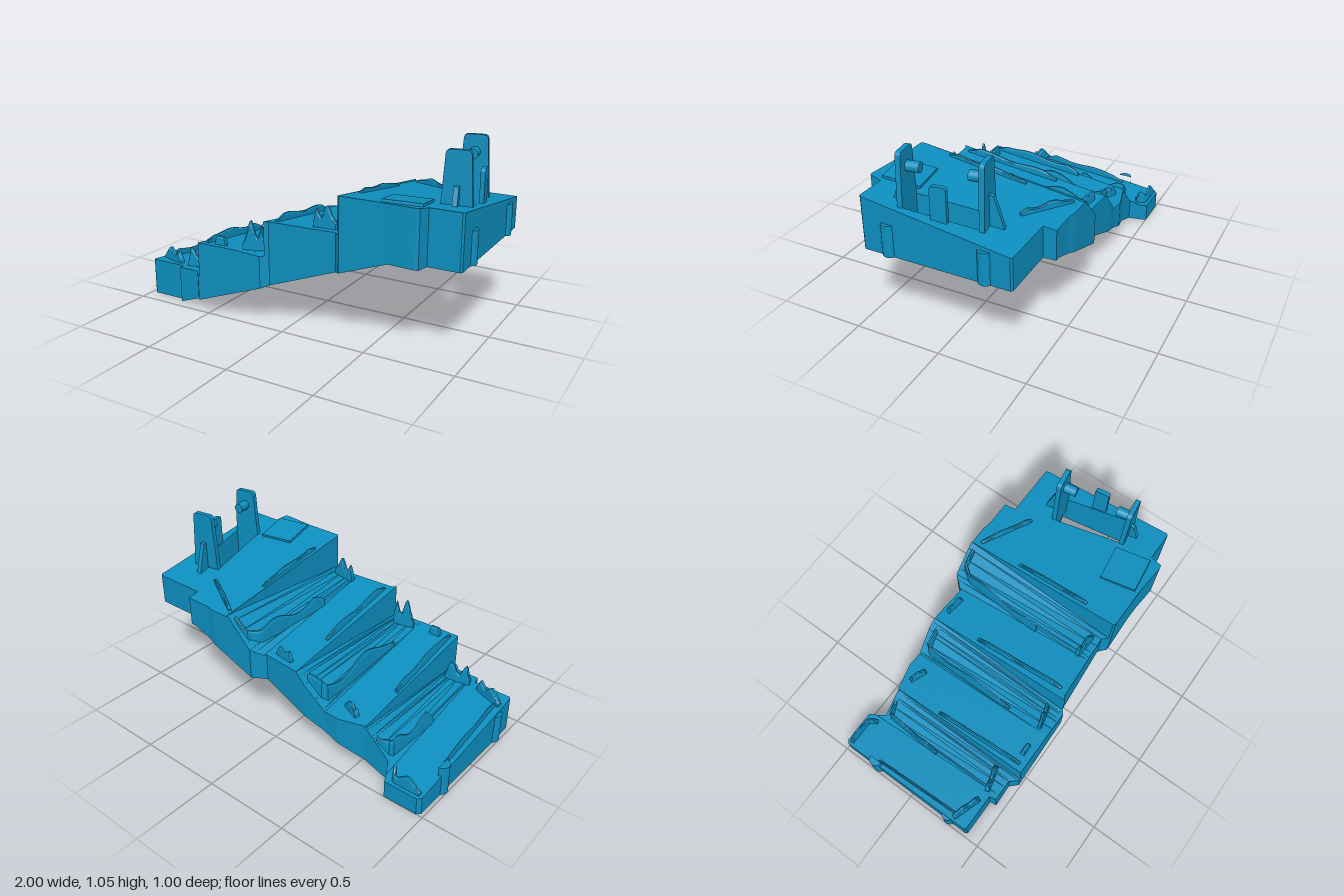
import * as THREE from 'three';

const { lerp } = THREE.MathUtils;
const mat = new THREE.MeshStandardMaterial({ color: 0x0d8fc0, flatShading: true });
const smoothMat = new THREE.MeshStandardMaterial({ color: 0x0d8fc0 });

// Ragged plan outline as [x, z] along the back, the front and both sides of the window
const BACK = [[-0.98, -0.48], [-0.96, -0.5], [-0.76, -0.5], [-0.71, -0.4], [-0.56, -0.4], [-0.4, -0.44], [-0.31, -0.435],
  [-0.18, -0.45], [0.11, -0.43], [0.17, -0.5], [0.45, -0.5], [0.5, -0.49], [0.65, -0.49], [0.655, -0.42], [0.97, -0.42], [0.98, -0.41]];
const FRONT = [[-0.98, 0.4], [-0.97, 0.41], [-0.745, 0.41], [-0.74, 0.45], [-0.61, 0.45], [-0.57, 0.495], [-0.14, 0.495], [-0.1, 0.46],
  [0.3, 0.44], [0.34, 0.48], [0.57, 0.48], [0.765, 0.495], [0.785, 0.49], [0.8, 0.42], [0.97, 0.42], [0.98, 0.41]];
const HOLE_BACK = [[0.72, -0.17], [0.87, -0.21], [0.94, 0.21]];
const HOLE_FRONT = [[0.72, -0.17], [0.79, 0.23], [0.94, 0.21]];
const BOTTOM = [[-0.98, 0], [-0.75, 0], [0.62, 0.5], [0.98, 0.5]];

// Each step: start x, start of the rising wedge, height at the front and at the back
const STEPS = [[-0.98, -0.74, 0.22, 0.11], [-0.56, -0.31, 0.41, 0.29], [-0.12, 0.12, 0.6, 0.475], [0.33, 0.98, 0.805, 0.677]];

function at(line, x) {
  for (let i = 1; i < line.length; i++) {
    const [a, b] = [line[i - 1], line[i]];
    if (x <= b[0]) return lerp(a[1], b[1], (x - a[0]) / (b[0] - a[0]));
  }
  return line[line.length - 1][1];
}

const stepAt = (x) => STEPS.reduce((k, s, i) => (x >= s[0] ? i : k), 0);

// Height of a tread: flat at the front, its back rising to meet the next step
function surface(x, z, k = stepAt(x)) {
  const [, ramp, front, back] = STEPS[k];
  const next = STEPS[k + 1];
  const t = next ? THREE.MathUtils.clamp((x - ramp) / (next[0] - ramp), 0, 1) : 0;
  return lerp(next ? lerp(back, next[3], t) : back, front, (z + 0.45) / 0.9);
}

function meshFrom(name, positions) {
  const g = new THREE.BufferGeometry();
  g.setAttribute('position', new THREE.Float32BufferAttribute(positions, 3));
  g.computeVertexNormals();
  const m = new THREE.Mesh(g, mat);
  m.name = name;
  return m;
}

function add(parent, name, geometry, x = 0, y = 0, z = 0, material = mat) {
  const m = new THREE.Mesh(geometry, material);
  m.name = name;
  m.position.set(x, y, z);
  parent.add(m);
  return m;
}

const quad = (out, a, b, c, d) => [a, b, c, a, c, d].forEach((p) => out.push(...p));

function steppedDeck() {
  const out = [];
  const xs = [BACK, FRONT, HOLE_BACK, HOLE_FRONT, BOTTOM].flat().map((p) => p[0]);
  STEPS.forEach((s) => xs.push(s[0], s[1]));
  for (let x = -0.95; x < 0.98; x += 0.05) xs.push(x);
  const cuts = [...new Set(xs.map((x) => +x.toFixed(4)))].sort((a, b) => a - b);

  for (let i = 0; i + 1 < cuts.length; i++) {
    const [x0, x1] = [cuts[i], cuts[i + 1]];
    const k = stepAt(x0);
    const inHole = x0 >= 0.72 && x1 <= 0.94;
    const strips = inHole ? [[BACK, HOLE_BACK], [HOLE_FRONT, FRONT]] : [[BACK, FRONT]];
    for (const [lb, lf] of strips) {
      const top = (x, l) => [x, surface(x, at(l, x), k), at(l, x)];
      const low = (x, l) => [x, at(BOTTOM, x), at(l, x)];
      quad(out, top(x0, lb), top(x0, lf), top(x1, lf), top(x1, lb));
      quad(out, low(x0, lf), low(x1, lf), top(x1, lf), top(x0, lf));
      quad(out, low(x1, lb), low(x0, lb), top(x0, lb), top(x1, lb));
      if (x0 >= -0.75 && x1 <= 0.62) quad(out, low(x0, lb), low(x1, lb), low(x1, lf), low(x0, lf));
    }
  }
  // Triangular risers and the two end walls
  STEPS.forEach(([x], k) => {
    const zb = at(BACK, x), zf = at(FRONT, x);
    const y = (z) => (k ? surface(x, z, k - 1) : 0);
    quad(out, [x, y(zb), zb], [x, y(zf), zf], [x, surface(x, zf, k), zf], [x, surface(x, zb, k), zb]);
  });
  const e = 0.98, z = 0.41;
  quad(out, [e, 0.5, z], [e, 0.5, -z], [e, surface(e, -z), -z], [e, surface(e, z), z]);
  return meshFrom('steppedDeck', out);
}

// Flat underside at one end, with round sockets
function underside(group, x0, x1, y, holeX, windowed) {
  const inside = (l) => [[x0, at(l, x0)], ...l.filter((p) => p[0] > x0 && p[0] < x1), [x1, at(l, x1)]];
  const vec = (l) => l.map((p) => new THREE.Vector2(...p));
  const shape = new THREE.Shape(vec([...inside(BACK), ...inside(FRONT).reverse()]));
  for (const z of [-0.27, 0.27]) {
    shape.holes.push(new THREE.Path().absarc(holeX, z, 0.033, 0, Math.PI * 2, true));
    const cup = new THREE.LatheGeometry([[0.033, 0], [0.033, 0.06], [0, 0.06]].map((p) => new THREE.Vector2(...p)), 24);
    const socket = add(group, 'socket', cup, holeX, y, z);
    socket.material = mat.clone();
    socket.material.side = THREE.DoubleSide;
  }
  if (windowed) shape.holes.push(new THREE.Path(vec([...HOLE_BACK, HOLE_FRONT[1]])));
  add(group, 'underside', new THREE.ShapeGeometry(shape, 24).rotateX(Math.PI / 2), 0, y, 0);
}

// Raised splinter that follows the treads along a path of [x, z] points
function splinter(points, width, height, wave = 0) {
  const path = new THREE.CurvePath();
  for (let i = 1; i < points.length; i++) {
    path.add(new THREE.LineCurve(new THREE.Vector2(...points[i - 1]), new THREE.Vector2(...points[i])));
  }
  const n = 24, rings = [], out = [];
  for (let i = 0; i <= n; i++) {
    const t = i / n, p = path.getPointAt(t), d = path.getTangentAt(t);
    const y = surface(p.x, p.y);
    const ends = Math.min(1, 0.35 + 5 * Math.min(t, 1 - t));
    const h = height * ends * (1 + wave * Math.sin(t * 11 + points[0][0] * 9));
    rings.push([[-1, -0.03], [-0.8, h * 0.8], [-0.4, h], [0.4, h], [0.8, h * 0.8], [1, -0.03]].map(
      ([s, v]) => [p.x - d.y * s * width / 2, y + v, p.y + d.x * s * width / 2]));
  }
  for (let i = 0; i < n; i++) {
    for (let j = 0; j < 5; j++) quad(out, rings[i][j], rings[i][j + 1], rings[i + 1][j + 1], rings[i + 1][j]);
  }
  const [a, b] = [rings[0], rings[n]];
  for (let j = 1; j < 5; j++) out.push(...a[0], ...a[j + 1], ...a[j], ...b[0], ...b[j], ...b[j + 1]);
  return meshFrom('splinter', out);
}

// Upright tapered plate with rounded top corners, centred on its thickness
function plateGeometry(bottomWidth, topWidth, y0, y1, depth, r = 0.025) {
  const b = bottomWidth / 2, t = topWidth / 2;
  const s = new THREE.Shape();
  s.moveTo(-b, y0).lineTo(b, y0).lineTo(t, y1 - r).quadraticCurveTo(t, y1, t - r, y1);
  s.lineTo(r - t, y1).quadraticCurveTo(-t, y1, -t, y1 - r);
  return new THREE.ExtrudeGeometry(s, { depth, bevelEnabled: false, curveSegments: 6 }).translate(0, 0, -depth / 2);
}

function hingeBracket() {
  const bracket = new THREE.Group();
  bracket.name = 'hingeBracket';
  bracket.position.set(0.832, 0, 0.01);
  bracket.rotation.y = 0.15;
  const fin = new THREE.Shape([[0, 0.62], [0.1, 0.62], [0.075, 0.73], [0.03, 0.872], [0, 0.876]].map((p) => new THREE.Vector2(...p)));
  for (const s of [-1, 1]) {
    add(bracket, 'hingePlate', plateGeometry(0.185, 0.13, 0.6, 1.053, 0.028), 0, 0, s * 0.21);
    add(bracket, 'hingePin', new THREE.CylinderGeometry(0.028, 0.028, 0.08, 24).rotateX(Math.PI / 2), 0, 0.96, s * 0.165, smoothMat);
    const g = new THREE.ExtrudeGeometry(fin, { depth: 0.026, bevelEnabled: false }).translate(0, 0, -0.013);
    add(bracket, 'plateFin', g.rotateY(-s * Math.PI / 2), 0, 0, s * 0.215);
  }
  add(bracket, 'stopTab', plateGeometry(0.085, 0.085, 0.6, 0.925, 0.025, 0.018).rotateY(Math.PI / 2), 0.09, 0, 0);
  return bracket;
}

export function createModel() {
  const model = new THREE.Group();
  model.name = 'steppedWoodenRamp';
  model.add(steppedDeck());
  underside(model, -0.98, -0.75, 0, -0.94, false);
  underside(model, 0.62, 0.98, 0.5, 0.94, true);

  // Half-round bosses on both end walls
  for (const [x, y] of [[-0.96, 0], [0.96, 0.5]]) {
    for (const z of [-0.27, 0.27]) {
      add(model, 'endBoss', new THREE.CylinderGeometry(0.04, 0.04, 0.18, 24, 1, false, x > 0 ? 0 : Math.PI, Math.PI), x, y + 0.09, z, smoothMat);
    }
  }

  // Splinters: path, width, height, waviness
  const splinters = [
    [[[-0.95, -0.26], [-0.935, 0.3]], 0.014, 0.035, 0.2],
    [[[-0.96, -0.47], [-0.8, -0.47], [-0.77, -0.42]], 0.025, 0.06, 0.3],
    [[[-0.96, 0.31], [-0.79, 0.37]], 0.035, 0.06, 0.3],
    [[[-0.72, 0], [-0.7, -0.36], [-0.62, -0.38]], 0.022, 0.07, 0.4],
    [[[-0.73, 0.38], [-0.58, 0.34]], 0.03, 0.08, 0.4],
    [[[-0.54, -0.1], [-0.52, 0.46]], 0.02, 0.045, 0.2],
    [[[-0.48, -0.37], [-0.38, -0.33]], 0.03, 0.05, 0.2],
    [[[-0.47, 0.44], [-0.4, 0.44]], 0.03, 0.05, 0],
    [[[-0.29, 0.22], [-0.275, -0.39], [-0.17, -0.4]], 0.022, 0.08, 0.4],
    [[[-0.29, 0.43], [-0.165, 0.4]], 0.028, 0.12, 0.4],
    [[[-0.09, -0.15], [-0.07, 0.42]], 0.022, 0.035, 0.2],
    [[[-0.05, -0.4], [0.065, -0.385]], 0.025, 0.05, 0.2],
    [[[0.14, 0.1], [0.175, -0.4], [0.22, -0.465], [0.3, -0.465]], 0.022, 0.07, 0.4],
    [[[0.14, 0.38], [0.28, 0.39]], 0.028, 0.09, 0.35],
    [[[0.36, -0.18], [0.36, 0.28]], 0.018, 0.025, 0.2],
    [[[0.36, -0.45], [0.64, -0.29]], 0.022, 0.03, 0.3],
  ];
  splinters.forEach((s) => model.add(splinter(...s)));

  // Blank plaque lying on the top tread
  const plaque = add(model, 'plaque', new THREE.BoxGeometry(0.21, 0.03, 0.21), 0.655, surface(0.655, 0.34), 0.34);
  plaque.rotation.set(-0.142, 0.14, 0);

  model.add(hingeBracket());
  return model;
}
